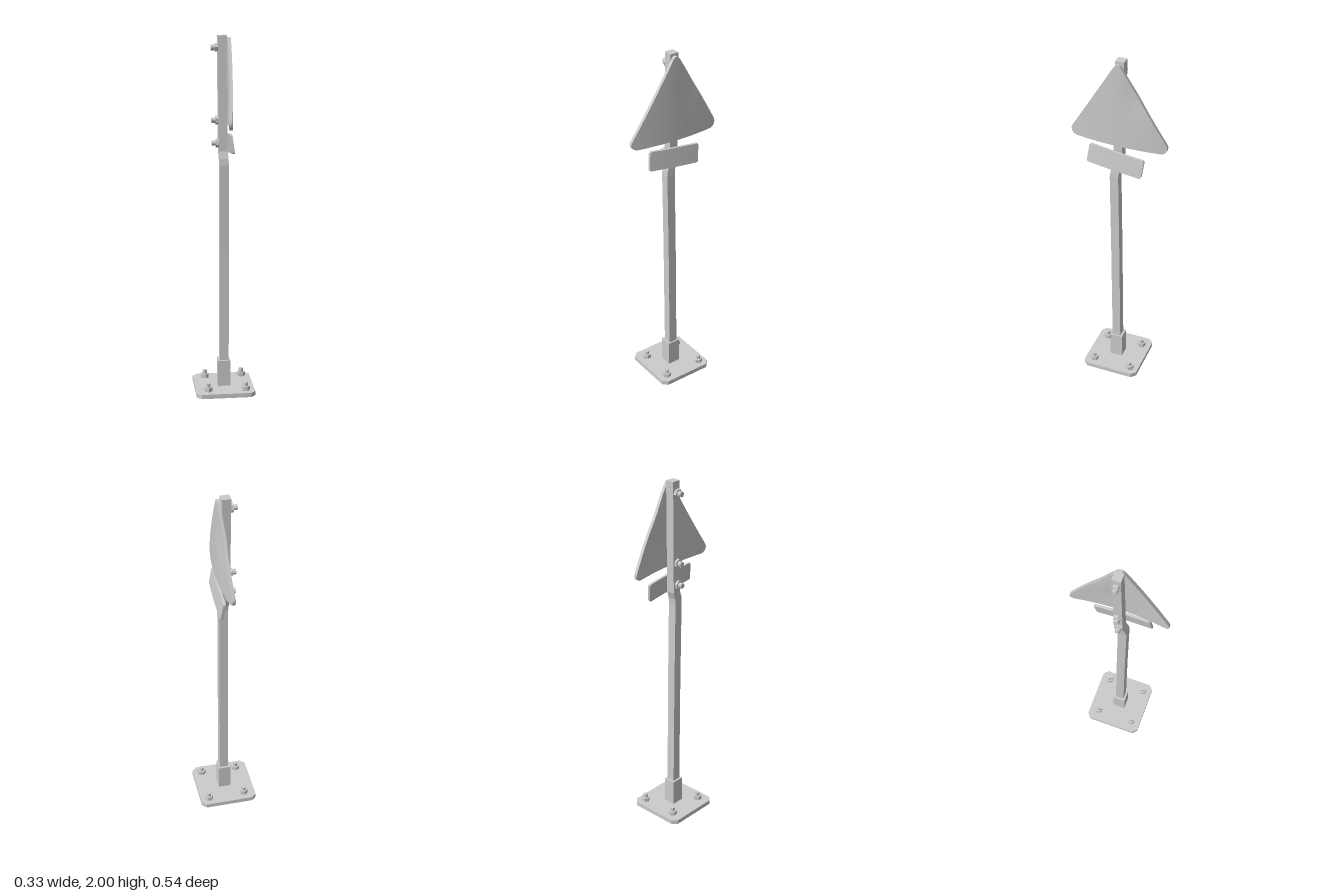
import * as THREE from 'three';

const flat = new THREE.MeshStandardMaterial({ color: 0xcccccc, flatShading: true });
const smooth = new THREE.MeshStandardMaterial({ color: 0xcccccc });

function add(parent, name, geometry, material = flat) {
  const mesh = new THREE.Mesh(geometry, material);
  mesh.name = name;
  parent.add(mesh);
  return mesh;
}

// Box whose rows of vertices follow a list of sections; place(section, x, z) gives each new point
function sectionBox(width, depth, rows, depthSegments, place) {
  const n = rows.length - 1;
  const geo = new THREE.BoxGeometry(width, 1, depth, 1, n, depthSegments);
  const p = geo.attributes.position;
  for (let i = 0; i < p.count; i++) {
    const row = rows[Math.round((p.getY(i) + 0.5) * n)];
    p.setXYZ(i, ...place(row, p.getX(i), p.getZ(i)));
  }
  geo.computeVertexNormals();
  return geo;
}

// Hex nut with a threaded stud, standing on y = 0
function bolt(name, nutRadius, nutHeight, studRadius, studTop, turn) {
  const group = new THREE.Group();
  group.name = name;
  const nut = add(group, 'nut', new THREE.CylinderGeometry(nutRadius, nutRadius, nutHeight, 6));
  nut.position.y = nutHeight / 2;
  nut.rotation.y = turn;
  const stud = add(group, 'stud', new THREE.CylinderGeometry(studRadius, studRadius, studTop, 8));
  stud.position.y = studTop / 2;
  return group;
}

export function createModel() {
  const model = new THREE.Group();
  model.name = 'roadSign';

  // Base plate with chamfered corners
  const [x0, x1, z0, z1, c] = [-0.166, 0.165, -0.157, 0.173, 0.026];
  const outline = new THREE.Shape([
    [x0 + c, -z0], [x0, -z0 - c], [x0, -z1 + c], [x0 + c, -z1],
    [x1 - c, -z1], [x1, -z1 + c], [x1, -z0 - c], [x1 - c, -z0],
  ].map(([x, y]) => new THREE.Vector2(x, y)));
  const base = new THREE.ExtrudeGeometry(outline, { depth: 0.025, bevelEnabled: false });
  base.rotateX(-Math.PI / 2);
  add(model, 'basePlate', base);

  // Anchor bolts
  [[-0.098, -0.102, 0.2], [0.115, -0.107, 0.5], [-0.098, 0.115, 0.1], [0.113, 0.119, 0.3]]
    .forEach(([x, z, turn]) => {
      const b = bolt('anchorBolt', 0.024, 0.023, 0.0125, 0.045, turn);
      b.position.set(x, 0.025, z);
      model.add(b);
    });

  // Socket around the foot of the pole
  add(model, 'socket', new THREE.BoxGeometry(0.07, 0.155, 0.073)).position.set(0, 0.0975, 0.011);

  // Square pole with a kink: [y, centre x, centre z]
  const poleRows = [[0.02, 0.003, 0.01], [0.175, 0.002, 0.012], [0.8, 0.002, 0.018],
    [1.3, 0.001, 0.025], [1.335, -0.001, 0.021], [1.375, -0.004, 0.006], [2, -0.008, -0.004]];
  add(model, 'pole', sectionBox(0.049, 0.049, poleRows, 1,
    ([y, cx, cz], x, z) => [cx + x, y, cz + z]));

  // Bent triangular panel with rounded corners: [y, half width]
  const signRows = [[1.516, 0.235], [1.519, 0.25], [1.526, 0.261], [1.538, 0.268], [1.553, 0.27],
    [1.57, 0.264]];
  for (let i = 1; i <= 10; i++) signRows.push([1.57 + i * 0.04, 0.264 - i * 0.024]);
  signRows.push([1.98, 0.017], [1.987, 0.011], [1.99, 0.004]);
  const sign = sectionBox(0.018, 2, signRows, 16, ([y, half], x, u) => {
    const z = u * half;
    const dent = 0.007 * Math.exp(-(((z + 0.09) / 0.06) ** 2) - ((y - 1.8) / 0.1) ** 2);
    const low = (1.99 - y) / 0.475;
    return [0.03 + 0.003 * low + x - 0.34 * z * z - dent, y + 0.026 * z * low, z];
  });
  add(model, 'trianglePanel', sign, smooth);

  // Tilted small plate below it: [y, half width]
  const plateRows = [[-0.053, 0.148], [-0.05, 0.154], [-0.044, 0.157], [0, 0.157],
    [0.044, 0.157], [0.05, 0.154], [0.053, 0.148]];
  const plate = add(model, 'lowerPlate', sectionBox(0.015, 2, plateRows, 8, ([y, half], x, u) => {
    const z = u * half;
    return [0.036 + x - 0.13 * y - 0.02 * z - 0.15 * z * z, y, z];
  }), smooth);
  plate.position.set(0, 1.417, 0.013);
  plate.rotation.x = -0.126;

  // Fixing bolts through the back of the pole
  [[-0.032, 1.935, 0], [-0.029, 1.545, 0.006], [-0.028, 1.42, 0.012]].forEach(([x, y, z], i) => {
    const b = bolt('fixingBolt', 0.025, 0.016, 0.015, 0.037, 0.15 + i * 0.3);
    b.position.set(x, y, z);
    b.rotation.z = Math.PI / 2;
    model.add(b);
  });

  return model;
}
